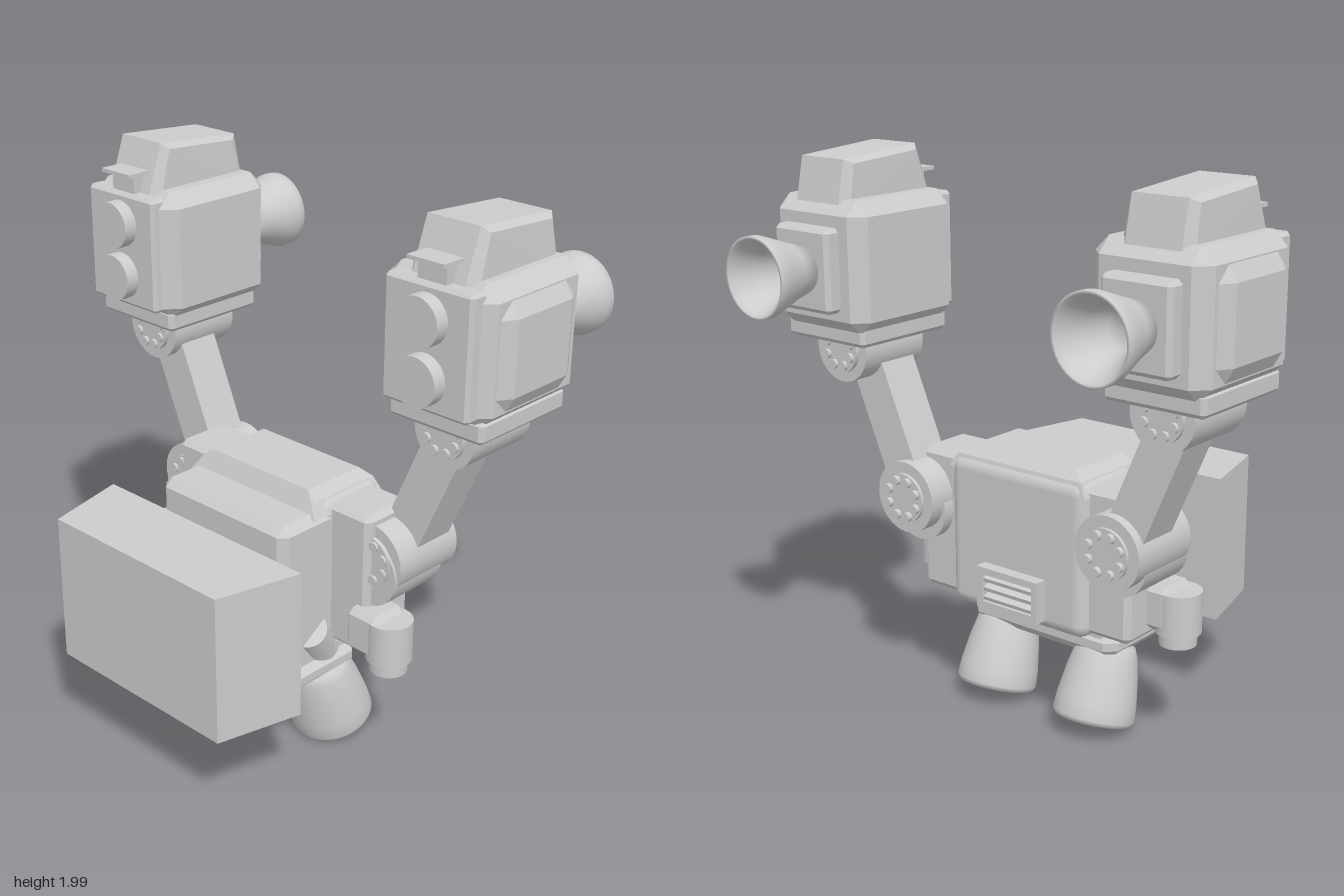
import * as THREE from 'three';
import { ConvexGeometry } from 'three/addons/geometries/ConvexGeometry.js';
import { RoundedBoxGeometry } from 'three/addons/geometries/RoundedBoxGeometry.js';

const grey = new THREE.MeshStandardMaterial({ color: 0xcccccc });
grey.name = 'light grey';
const greyOpen = grey; // bells are closed shells, so one material is enough

function add(parent, name, geo, x = 0, y = 0, z = 0) {
  const m = new THREE.Mesh(geo, grey);
  m.name = name;
  m.position.set(x, y, z);
  parent.add(m);
  return m;
}

// box given by its limits
function box(parent, name, x0, x1, y0, y1, z0, z1) {
  return add(parent, name, new THREE.BoxGeometry(Math.abs(x1 - x0), y1 - y0, z1 - z0),
    (x0 + x1) / 2, (y0 + y1) / 2, (z0 + z1) / 2);
}

// box with all edges chamfered, given by its limits
function chamferBox(parent, name, x0, x1, y0, y1, z0, z1, cx, cy = cx, cz = cx) {
  const w = Math.abs(x1 - x0) / 2, h = (y1 - y0) / 2, d = (z1 - z0) / 2, pts = [];
  for (const i of [-1, 1]) for (const j of [-1, 1]) for (const k of [-1, 1]) {
    pts.push(new THREE.Vector3(i * w, j * (h - cy), k * (d - cz)));
    pts.push(new THREE.Vector3(i * (w - cx), j * h, k * (d - cz)));
    pts.push(new THREE.Vector3(i * (w - cx), j * (h - cy), k * d));
  }
  return add(parent, name, new ConvexGeometry(pts), (x0 + x1) / 2, (y0 + y1) / 2, (z0 + z1) / 2);
}

// drum whose axis runs along z
function drum(parent, name, x, y, z0, z1, r) {
  const m = add(parent, name, new THREE.CylinderGeometry(r, r, z1 - z0, 32), x, y, (z0 + z1) / 2);
  m.rotation.x = Math.PI / 2;
  return m;
}

function boltRing(parent, x, y, z0, z1, r) {
  for (let i = 0; i < 8; i++) {
    const a = (i / 8) * Math.PI * 2 + Math.PI / 8;
    drum(parent, 'bolt', x + r * Math.cos(a), y + r * Math.sin(a), z0, z1, 0.017);
  }
}

function lathe(parent, name, profile) {
  return add(parent, name, new THREE.LatheGeometry(profile.map(p => new THREE.Vector2(...p)), 40));
}

function torso(parent) {
  const g = new THREE.Group();
  g.name = 'torso';
  parent.add(g);
  chamferBox(g, 'chest', -0.3, 0.3, 0.32, 0.935, -0.05, 0.3, 0.03);
  chamferBox(g, 'hip', -0.325, 0.325, 0.29, 0.40, -0.06, 0.29, 0.04);
  add(g, 'backpack', new RoundedBoxGeometry(0.6, 0.56, 0.3, 4, 0.05), 0, 0.69, -0.04);
  // sloped cover on top
  const pts = [];
  for (const s of [-1, 1]) {
    for (const [x, y, z] of [[0.3, 0.92, 0.15], [0.3, 0.92, -0.185], [0.23, 1, 0.11],
      [0.23, 1, -0.14], [0.27, 0.97, 0.12], [0.27, 0.97, -0.17]]) pts.push(new THREE.Vector3(s * x, y, z));
  }
  add(g, 'topCover', new ConvexGeometry(pts));
  // rear vent: frame and slats
  box(g, 'ventBack', -0.13, 0.13, 0.455, 0.595, -0.2, -0.17);
  for (const s of [-1, 1]) {
    box(g, 'ventSide', s * 0.11, s * 0.135, 0.45, 0.6, -0.235, -0.17);
    box(g, 'ventRail', -0.135, 0.135, 0.525 + s * 0.0625 - 0.0125, 0.525 + s * 0.0625 + 0.0125, -0.235, -0.17);
  }
  for (let i = 0; i < 3; i++) {
    const slat = box(g, 'ventSlat', -0.11, 0.11, 0.483 + i * 0.034, 0.498 + i * 0.034, -0.228, -0.18);
    slat.rotation.x = -0.3;
  }
}

// block in front, narrower toward the front
function frontBlock(parent) {
  const shape = new THREE.Shape([[-0.46, -0.38], [0.46, -0.38], [0.385, -0.685], [-0.385, -0.685]]
    .map(p => new THREE.Vector2(...p)));
  const geo = new THREE.ExtrudeGeometry(shape, { depth: 0.53, bevelEnabled: false });
  geo.rotateX(-Math.PI / 2);
  add(parent, 'frontBlock', geo, 0, 0.35, 0);
}

function thruster(parent, s) {
  const g = new THREE.Group();
  g.name = 'legThruster';
  parent.add(g);
  // bell, axis tilted backward
  const bell = lathe(g, 'bell', [[0, 0.05], [0.06, 0.04], [0.09, -0.04], [0.115, -0.15], [0.13, -0.265],
    [0.14, -0.272], [0.147, -0.255], [0.142, -0.2], [0.127, -0.1], [0.108, -0.03], [0.09, 0.005], [0.07, 0.015], [0, 0.015]]);
  bell.geometry.dispose();
  bell.geometry = new THREE.LatheGeometry([[0, -0.03], [0.07, -0.03], [0.095, -0.1], [0.115, -0.18], [0.13, -0.265],
    [0.138, -0.272], [0.147, -0.255], [0.143, -0.2], [0.128, -0.1], [0.112, -0.03], [0.1, 0], [0.075, 0.01], [0, 0.01]]
    .map(p => new THREE.Vector2(...p)), 40);
  bell.position.set(s * 0.225, 0.31, 0.05);
  bell.rotation.x = 0.31;
  // neck rings and elbow into the hip
  const neck = add(g, 'neck', new THREE.CylinderGeometry(0.068, 0.072, 0.09, 28), s * 0.228, 0.345, 0.06);
  neck.rotation.x = 0.31;
  const ring = add(g, 'neckRing', new THREE.CylinderGeometry(0.08, 0.08, 0.035, 28), s * 0.235, 0.385, 0.072);
  ring.rotation.x = 0.31;
  const from = new THREE.Vector3(s * 0.24, 0.37, 0.07), to = new THREE.Vector3(s * 0.28, 0.5, 0.155);
  const elbow = add(g, 'elbowPipe', new THREE.CylinderGeometry(0.065, 0.075, from.distanceTo(to), 28));
  elbow.position.addVectors(from, to).multiplyScalar(0.5);
  elbow.quaternion.setFromUnitVectors(new THREE.Vector3(0, 1, 0), to.clone().sub(from).normalize());
}

function arm(parent, s) {
  const g = new THREE.Group();
  g.name = s > 0 ? 'leftArm' : 'rightArm';
  parent.add(g);
  chamferBox(g, 'shoulderBlock', s * 0.27, s * 0.46, 0.43, 0.955, -0.155, 0.065, 0.02);
  drum(g, 'shoulderDrum', s * 0.435, 0.745, -0.2, 0.04, 0.125);
  drum(g, 'shoulderHub', s * 0.445, 0.79, -0.26, 0.03, 0.13);
  drum(g, 'shoulderCap', s * 0.445, 0.79, -0.272, 0.045, 0.09);
  boltRing(g, s * 0.445, 0.79, -0.29, 0.055, 0.068);
  // upper arm bar
  const bar = add(g, 'armBar', new THREE.BoxGeometry(0.15, 0.53, 0.16), s * 0.572, 1.05, -0.145);
  bar.rotation.z = -s * 0.405;
  // wrist joint
  drum(g, 'wristDrum', s * 0.685, 1.305, -0.31, -0.025, 0.12);
  drum(g, 'wristCap', s * 0.685, 1.305, -0.325, -0.008, 0.085);
  boltRing(g, s * 0.685, 1.305, -0.338, 0.004, 0.06);
  // small downward pod beside the hip
  chamferBox(g, 'podBracket', s * 0.4, s * 0.54, 0.46, 0.62, -0.05, 0.105, 0.02);
  add(g, 'pod', new THREE.CylinderGeometry(0.08, 0.08, 0.15, 32), s * 0.535, 0.525, 0.03);
  add(g, 'podTip', new THREE.CylinderGeometry(0.065, 0.065, 0.05, 32), s * 0.535, 0.43, 0.03);
}

function head(parent, s) {
  const g = new THREE.Group();
  g.name = s > 0 ? 'leftPod' : 'rightPod';
  parent.add(g);
  const cx = s * 0.695;
  chamferBox(g, 'podBase', cx - 0.187, cx + 0.187, 1.34, 1.42, -0.38, 0.045, 0.015);
  chamferBox(g, 'podBody', s * 0.475, s * 0.9, 1.385, 1.845, -0.42, 0.07, 0.05);
  chamferBox(g, 'sidePad', s * 0.86, s * 0.93, 1.44, 1.79, -0.355, 0.01, 0.03, 0.05, 0.05);
  chamferBox(g, 'frontPlate', cx - 0.17, cx + 0.17, 1.42, 1.83, 0.03, 0.1, 0.012);
  for (const y of [1.53, 1.72]) drum(g, 'frontLens', cx, y, 0.08, 0.15, 0.083);
  // sight bracket above the lenses
  box(g, 'sightBase', cx - 0.055, cx + 0.055, 1.83, 1.895, 0.03, 0.08);
  box(g, 'sightTop', cx - 0.072, cx + 0.072, 1.893, 1.906, 0.02, 0.115);
  // sloped turret on top
  const pts = [];
  for (const i of [-1, 1]) {
    for (const [x, y, z] of [[0.13, 1.82, 0.02], [0.1, 1.82, 0.055], [0.13, 1.82, -0.36], [0.1, 1.82, -0.39],
      [0.122, 1.98, -0.03], [0.1, 2, -0.01], [0.122, 1.96, -0.33], [0.1, 1.975, -0.357]]) {
      pts.push(new THREE.Vector3(i * x, y, z));
    }
  }
  add(g, 'turret', new ConvexGeometry(pts), cx);
  // rear nozzle, hollow at the end
  chamferBox(g, 'rearPlate', cx - 0.128, cx + 0.128, 1.465, 1.755, -0.477, -0.4, 0.015);
  const horn = lathe(g, 'rearNozzle', [[0, 0.06], [0.055, 0.06], [0.085, 0.13], [0.12, 0.195], [0.13, 0.215],
    [0.14, 0.215], [0.14, 0.185], [0.125, 0.14], [0.1, 0.07], [0.082, 0], [0, 0]].reverse());
  horn.position.set(cx, 1.61, -0.47);
  horn.rotation.x = -Math.PI / 2;
}

export function createModel() {
  const model = new THREE.Group();
  model.name = 'armedThrusterRig';
  torso(model);
  frontBlock(model);
  for (const s of [-1, 1]) {
    thruster(model, s);
    arm(model, s);
    head(model, s);
  }
  return model;
}
